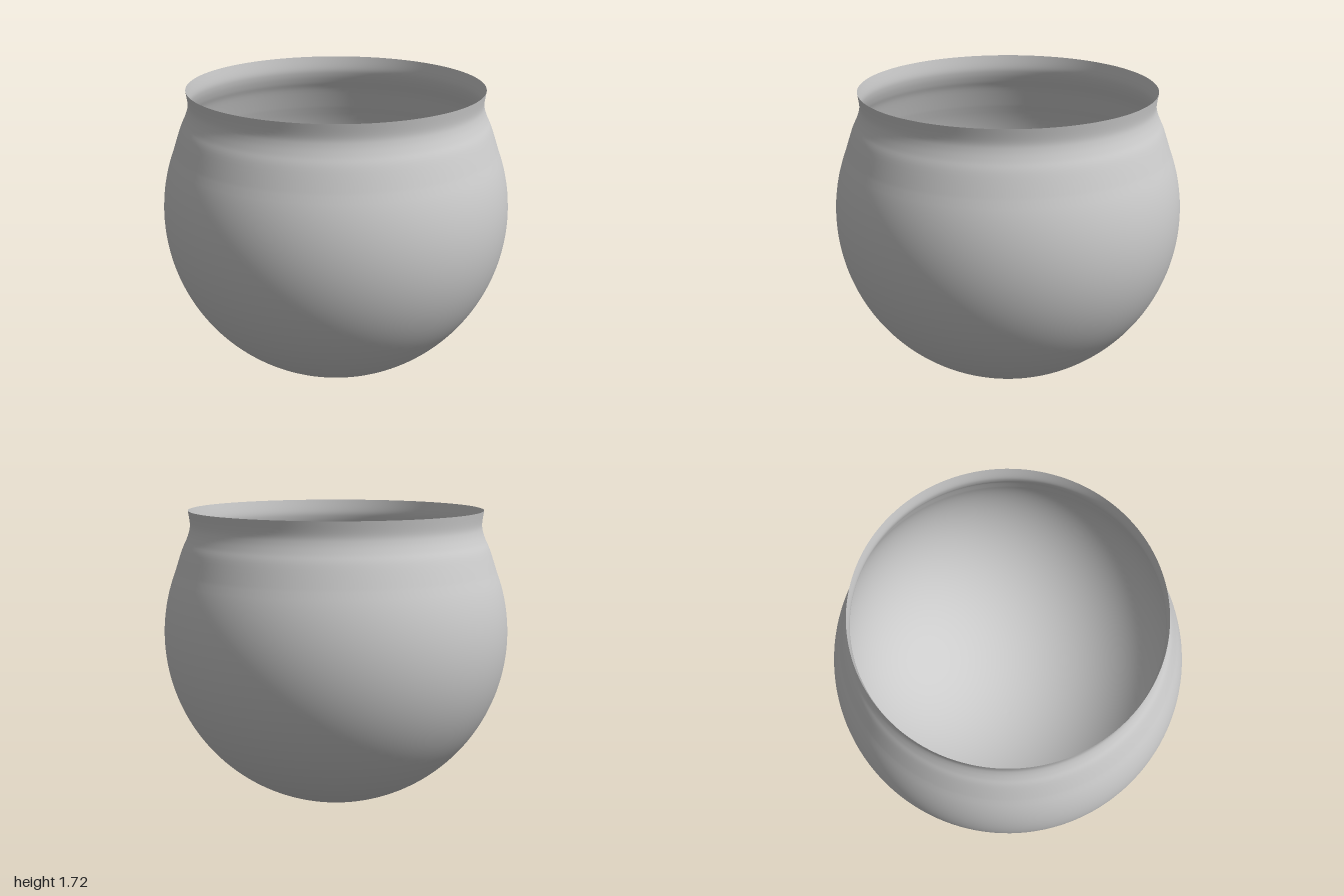
import * as THREE from 'three';

export function createModel() {
  const group = new THREE.Group();
  const material = new THREE.MeshStandardMaterial({ color: 0xcccccc, side: THREE.DoubleSide });

  // Round belly: circular arc from the bottom pole up to the shoulder
  const profile = [];
  const shoulder = 1.94;
  for (let i = 0; i <= 48; i++) {
    const a = (i / 48) * shoulder;
    profile.push(new THREE.Vector2(Math.sin(a), 1 - Math.cos(a)));
  }

  // Neck: leaves the belly tangentially, narrows, then flares slightly to the rim
  const end = profile[profile.length - 1];
  const neck = new THREE.SplineCurve([
    end,
    new THREE.Vector2(0.89, 1.49),
    new THREE.Vector2(0.863, 1.55),
    new THREE.Vector2(0.846, 1.6),
    new THREE.Vector2(0.841, 1.645),
    new THREE.Vector2(0.851, 1.718),
  ]);
  profile.push(...neck.getPoints(24).slice(1));

  const bowl = new THREE.Mesh(new THREE.LatheGeometry(profile, 128), material);
  bowl.name = 'bowl';
  group.add(bowl);
  return group;
}
